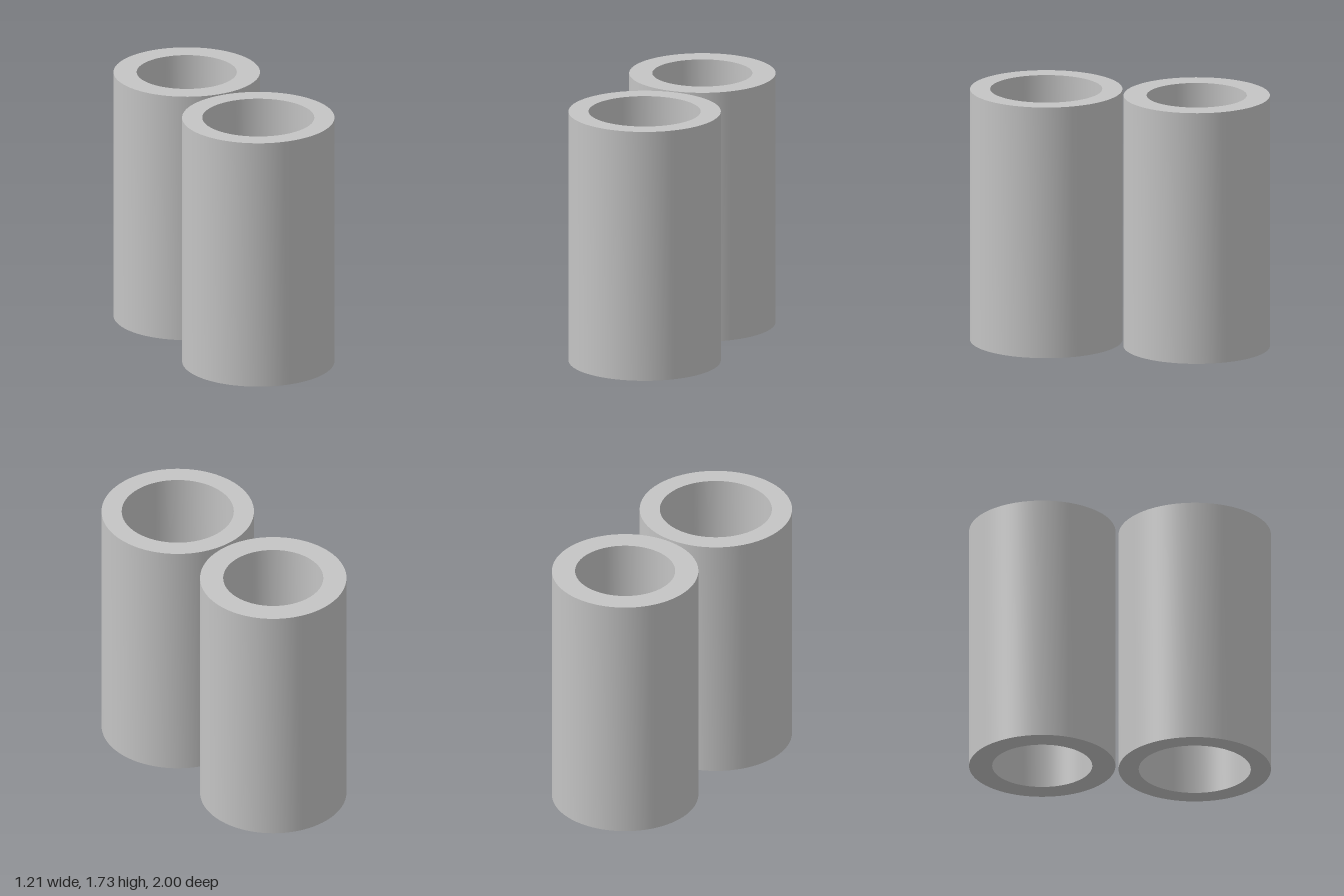
import * as THREE from 'three';
import { toCreasedNormals } from 'three/addons/utils/BufferGeometryUtils.js';

const HEIGHT = 1.73;

// Hollow tube: a rectangular wall section turned about the y axis
function tube(name, outer, inner, x, z, material) {
  const profile = [
    [outer, 0], [outer, HEIGHT], [inner, HEIGHT], [inner, 0], [outer, 0],
  ].map(([r, y]) => new THREE.Vector2(r, y));
  const geometry = toCreasedNormals(new THREE.LatheGeometry(profile, 96), Math.PI / 6);
  const mesh = new THREE.Mesh(geometry, material);
  mesh.name = name;
  mesh.position.set(x, 0, z);
  return mesh;
}

export function createModel() {
  const grey = new THREE.MeshStandardMaterial({ color: 0xc4c4c4 });
  grey.name = 'light grey';

  const model = new THREE.Group();
  model.name = 'twinTubes';
  model.add(
    tube('frontTube', 0.51, 0.375, 0.095, 0.49, grey), // wider, thinner wall
    tube('backTube', 0.49, 0.335, -0.115, -0.51, grey), // narrower, thicker wall
  );
  return model;
}
